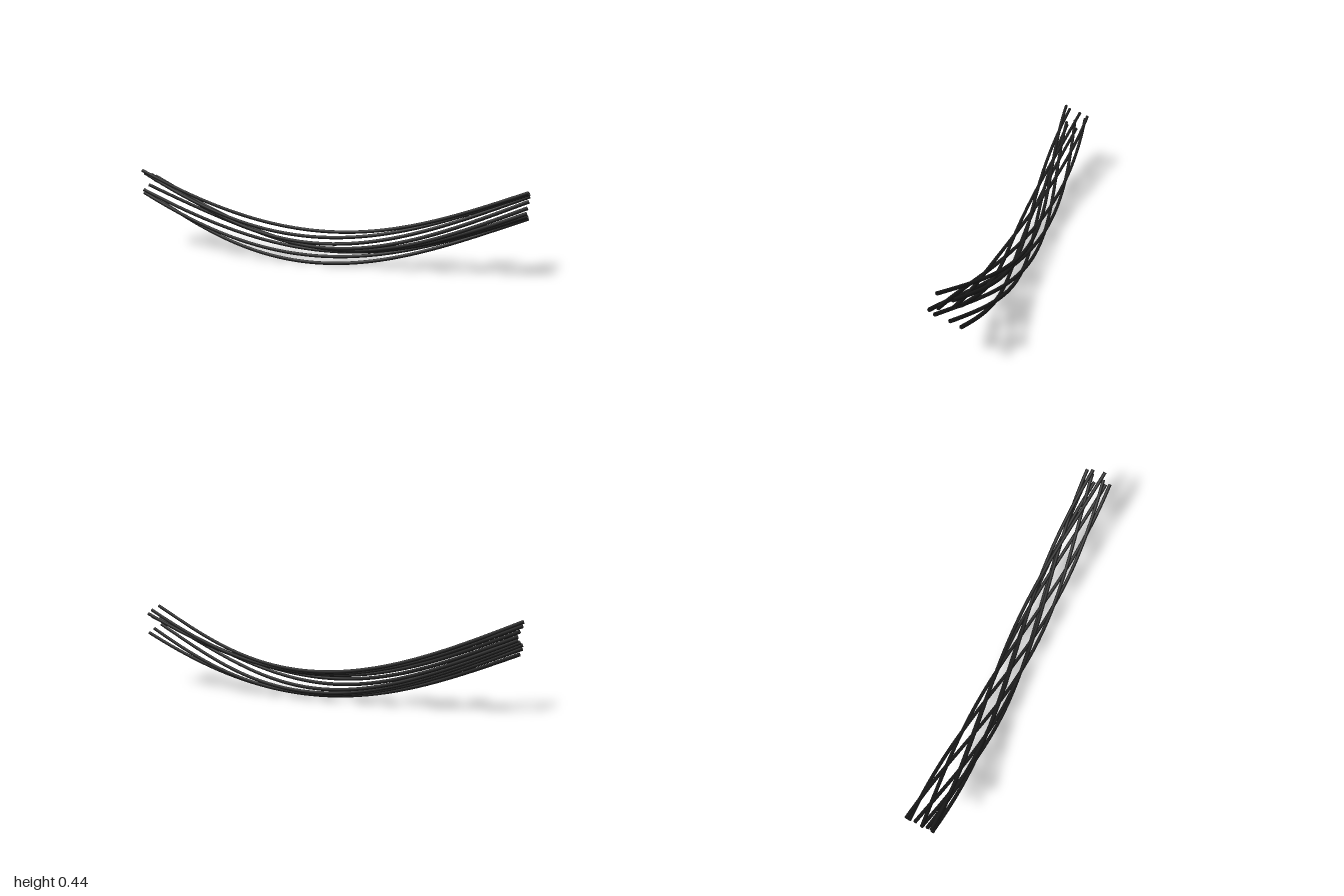
import * as THREE from 'three';

const COUNT = 9;        // strands in the bundle
const HALF = 0.996;     // half span along x
const RADIUS = 0.009;   // strand thickness
const STEP = 0.0175;    // height between strands
const SAG = 0.283;      // drop at mid span
const SWAY = 0.068;     // sideways weave

// Hanging path of one strand: a sagging line that weaves in z
class StrandCurve extends THREE.Curve {
  constructor(index) {
    super();
    this.index = index;
  }
  getPoint(t, target = new THREE.Vector3()) {
    return target.set(
      HALF * (2 * t - 1),
      RADIUS + this.index * STEP + SAG * (1 - Math.sin(Math.PI * t)),
      SWAY * Math.sin(this.index + 5 * t)
    );
  }
}

export function createModel() {
  const group = new THREE.Group();
  group.name = 'hangingCables';
  const rubber = new THREE.MeshStandardMaterial({ color: 0x1c1c1c, side: THREE.DoubleSide });
  rubber.name = 'blackRubber';

  for (let i = 0; i < COUNT; i++) {
    const cable = new THREE.Mesh(
      new THREE.TubeGeometry(new StrandCurve(i), 64, RADIUS, 8, false),
      rubber
    );
    cable.name = `cable${i + 1}`;
    group.add(cable);
  }
  return group;
}
